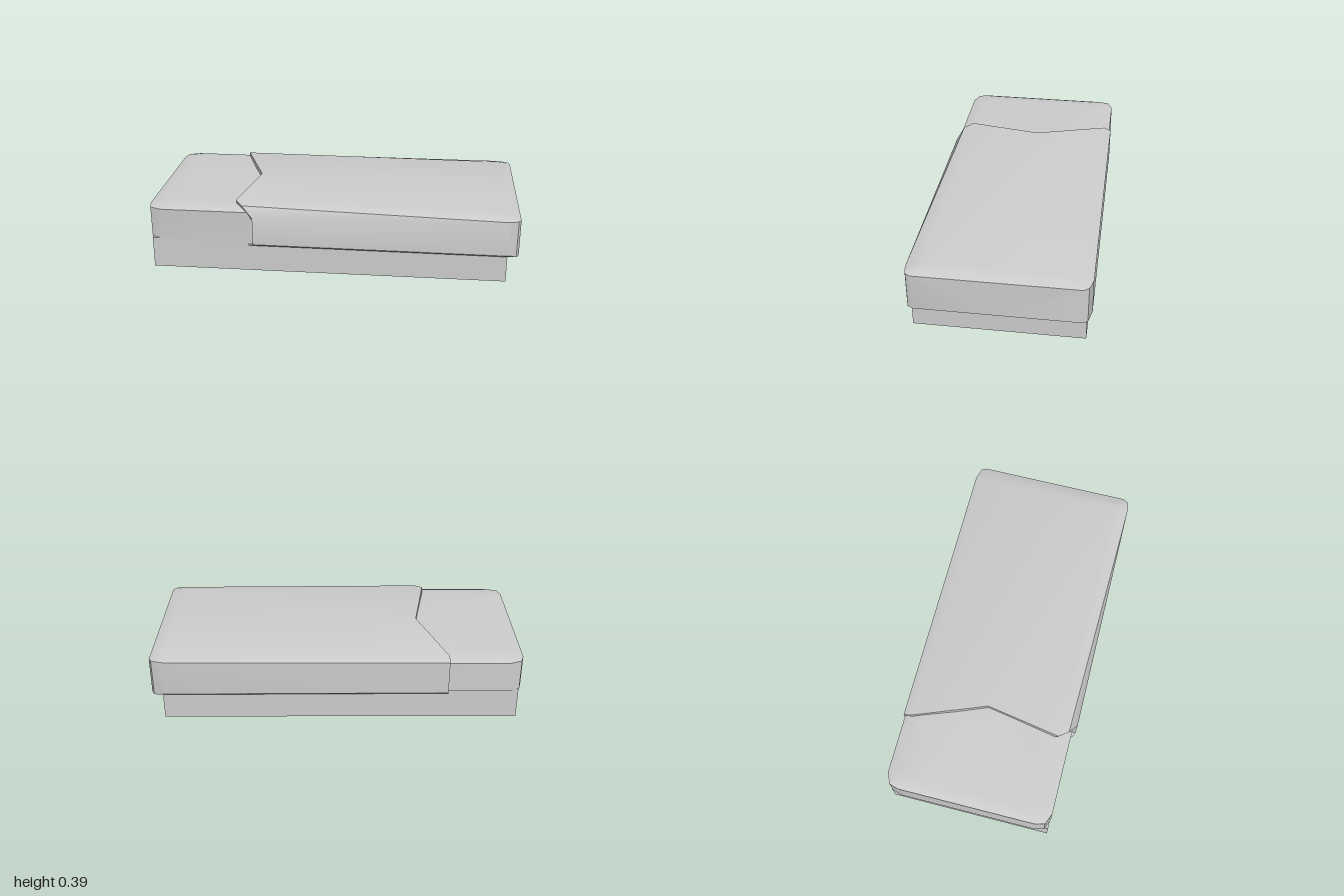
import * as THREE from 'three';
import { toCreasedNormals } from 'three/addons/utils/BufferGeometryUtils.js';

// Skin a list of closed rings of [x, y, z] points
function loft(rings, crease) {
  const pos = [];
  const tri = (...pts) => {
    const [a, b, c] = pts.map((p) => new THREE.Vector3(...p));
    if (new THREE.Triangle(a, b, c).getArea() > 1e-7) pos.push(...pts.flat());
  };
  for (let i = 0; i < rings.length - 1; i++) {
    const n = rings[i].length;
    for (let j = 0; j < n; j++) {
      const k = (j + 1) % n;
      tri(rings[i][j], rings[i][k], rings[i + 1][k]);
      tri(rings[i][j], rings[i + 1][k], rings[i + 1][j]);
    }
  }
  const geometry = new THREE.BufferGeometry();
  geometry.setAttribute('position', new THREE.Float32BufferAttribute(pos, 3));
  return toCreasedNormals(geometry, crease);
}

// Horizontal outline of the mattress with clipped corners
function mattressRing(y, inset) {
  const cx = -0.04, cz = -0.008, w = 0.96 - inset, d = 0.453 - inset, r = 0.075;
  const ring = [];
  for (const [sx, sz] of [[1, -1], [-1, -1], [-1, 1], [1, 1]]) {
    const corner = [[0, r], [0.015, 0.025], [r, 0]];
    if (sx * sz > 0) corner.reverse();
    for (const [a, b] of corner) ring.push([cx + sx * (w - a), y, cz + sz * (d - b)]);
  }
  return ring;
}

function mattressGeometry() {
  const centre = (y) => mattressRing(y, 0).map(() => [-0.04, y, -0.008]);
  return loft([
    centre(0.17), mattressRing(0.17, 0), mattressRing(0.343, 0),
    mattressRing(0.354, 0.03), mattressRing(0.36, 0.09), centre(0.361),
  ], 0.75);
}

function blanketGeometry() {
  // Uneven turned edge, running from the back, over the top, to the front
  const head = [
    [-0.6, 0.155, -0.43], [-0.6, 0.155, -0.46], [-0.6, 0.165, -0.47], [-0.6, 0.352, -0.47],
    [-0.6, 0.37, -0.43], [-0.45, 0.387, -0.03], [-0.52, 0.387, 0.38], [-0.48, 0.375, 0.43],
    [-0.42, 0.32, 0.467], [-0.42, 0.165, 0.465], [-0.44, 0.155, 0.455], [-0.46, 0.155, 0.43],
  ];
  // Inner edge, tucked into the mattress
  const inner = head.map(([x, y, z]) => [x, y > 0.3 ? y - 0.04 : y, z * 0.93]);
  // Straight section near the foot
  const section = [
    [0.15, -0.43], [0.15, -0.46], [0.16, -0.47], [0.355, -0.47],
    [0.368, -0.42], [0.373, -0.03], [0.371, 0.38], [0.365, 0.42],
    [0.353, 0.46], [0.16, 0.46], [0.15, 0.45], [0.15, 0.43],
  ];
  const foot = (x, top, zMax) => section.map(([y, z]) =>
    [x, Math.min(y, top), THREE.MathUtils.clamp(z, -zMax - 0.005, zMax)]);
  const end = section.map(() => [1, 0.15, 0]);
  return loft([
    inner, head, foot(0.92, 0.4, 0.465), foot(0.955, 0.366, 0.457),
    foot(0.985, 0.357, 0.447), foot(1, 0.352, 0.42), end,
  ], 0.6);
}

export function createModel() {
  const group = new THREE.Group();
  const grey = new THREE.MeshStandardMaterial({ color: 0xcccccc });
  grey.name = 'light grey';
  grey.side = THREE.DoubleSide;

  const add = (name, geometry) => {
    const mesh = new THREE.Mesh(geometry, grey);
    mesh.name = name;
    group.add(mesh);
    return mesh;
  };

  add('bedBase', new THREE.BoxGeometry(1.92, 0.172, 0.886)).position.set(-0.02, 0.086, -0.003);
  add('mattress', mattressGeometry());
  add('blanket', blanketGeometry());
  return group;
}
